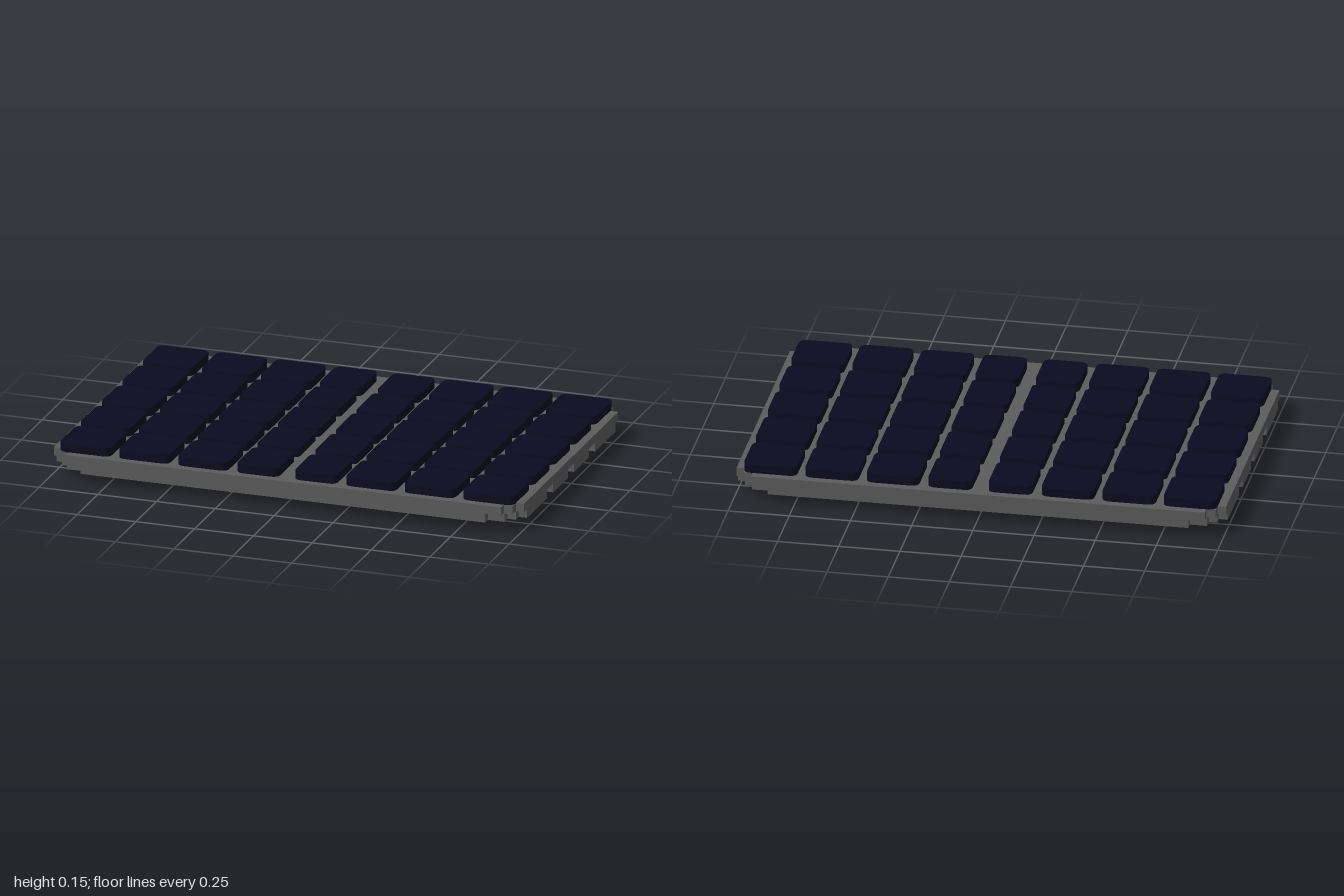
import * as THREE from 'three';

// Closed shape from the corner points of one quadrant, mirrored to all four
function mirroredShape(quad) {
  const back = quad.slice().reverse();
  const pts = [
    ...quad,
    ...back.map(([x, z]) => [-x, z]),
    ...quad.map(([x, z]) => [-x, -z]),
    ...back.map(([x, z]) => [x, -z]),
  ];
  return new THREE.Shape(pts.map(([x, z]) => new THREE.Vector2(x, z)));
}

// Rectangle centred on the origin with rounded corners
function roundedRect(w, d, r) {
  const x = w / 2, y = d / 2;
  const s = new THREE.Shape();
  s.moveTo(-x + r, -y);
  s.lineTo(x - r, -y);
  s.quadraticCurveTo(x, -y, x, -y + r);
  s.lineTo(x, y - r);
  s.quadraticCurveTo(x, y, x - r, y);
  s.lineTo(-x + r, y);
  s.quadraticCurveTo(-x, y, -x, y - r);
  s.lineTo(-x, -y + r);
  s.quadraticCurveTo(-x, -y, -x + r, -y);
  return s;
}

// Upright slab lying flat, from y0 to y1
function slab(shape, y0, y1) {
  const g = new THREE.ExtrudeGeometry(shape, { depth: y1 - y0, bevelEnabled: false, curveSegments: 4 });
  g.rotateX(-Math.PI / 2);
  g.translate(0, y0, 0);
  return g;
}

export function createModel() {
  const frameGrey = new THREE.MeshStandardMaterial({ color: 0x5c5c5c });
  frameGrey.name = 'frameGrey';
  const cellNavy = new THREE.MeshStandardMaterial({ color: 0x0b0b20 });
  cellNavy.name = 'cellNavy';

  const model = new THREE.Group();
  model.name = 'solarPanel';
  const add = (parent, name, geometry, material) => {
    const mesh = new THREE.Mesh(geometry, material);
    mesh.name = name;
    parent.add(mesh);
    return mesh;
  };

  // Lower tray, with notches in the short sides and stepped corners
  const lower = mirroredShape([
    [0.965, 0.036], [1, 0.036], [1, 0.217], [0.965, 0.217], [0.965, 0.29], [1, 0.29],
    [1, 0.535], [0.965, 0.535], [0.965, 0.57], [0.93, 0.57], [0.93, 0.608],
    [0.86, 0.608], [0.86, 0.642],
  ]);
  add(model, 'lowerTray', slab(lower, 0.037, 0.074), frameGrey);

  // Upper tray, with stepped corners only
  const upper = mirroredShape([
    [1, 0.57], [0.965, 0.57], [0.965, 0.608], [0.927, 0.608], [0.927, 0.642],
  ]);
  add(model, 'upperTray', slab(upper, 0.074, 0.11), frameGrey);

  // Rail along the underside
  const rail = add(model, 'bottomRail', new THREE.BoxGeometry(1.93, 0.04, 0.072), frameGrey);
  rail.position.y = 0.02;

  // Cells: columns mirrored about the centre seam, in five rows
  const columns = [[0.033, 0.213], [0.25, 0.465], [0.498, 0.716], [0.748, 0.966]];
  const cells = new THREE.Group();
  cells.name = 'solarCells';
  model.add(cells);
  for (let row = -2; row <= 2; row++) {
    columns.forEach(([x0, x1], col) => {
      const onBorder = col === 3 || Math.abs(row) === 2;
      const shape = roundedRect(x1 - x0, 0.216, onBorder ? 0.032 : 0.018);
      const geometry = slab(shape, 0.108, 0.146);
      for (const side of [-1, 1]) {
        const cell = add(cells, 'solarCell', geometry, cellNavy);
        cell.position.set(side * (x0 + x1) / 2, 0, row * 0.25);
      }
    });
  }

  return model;
}
